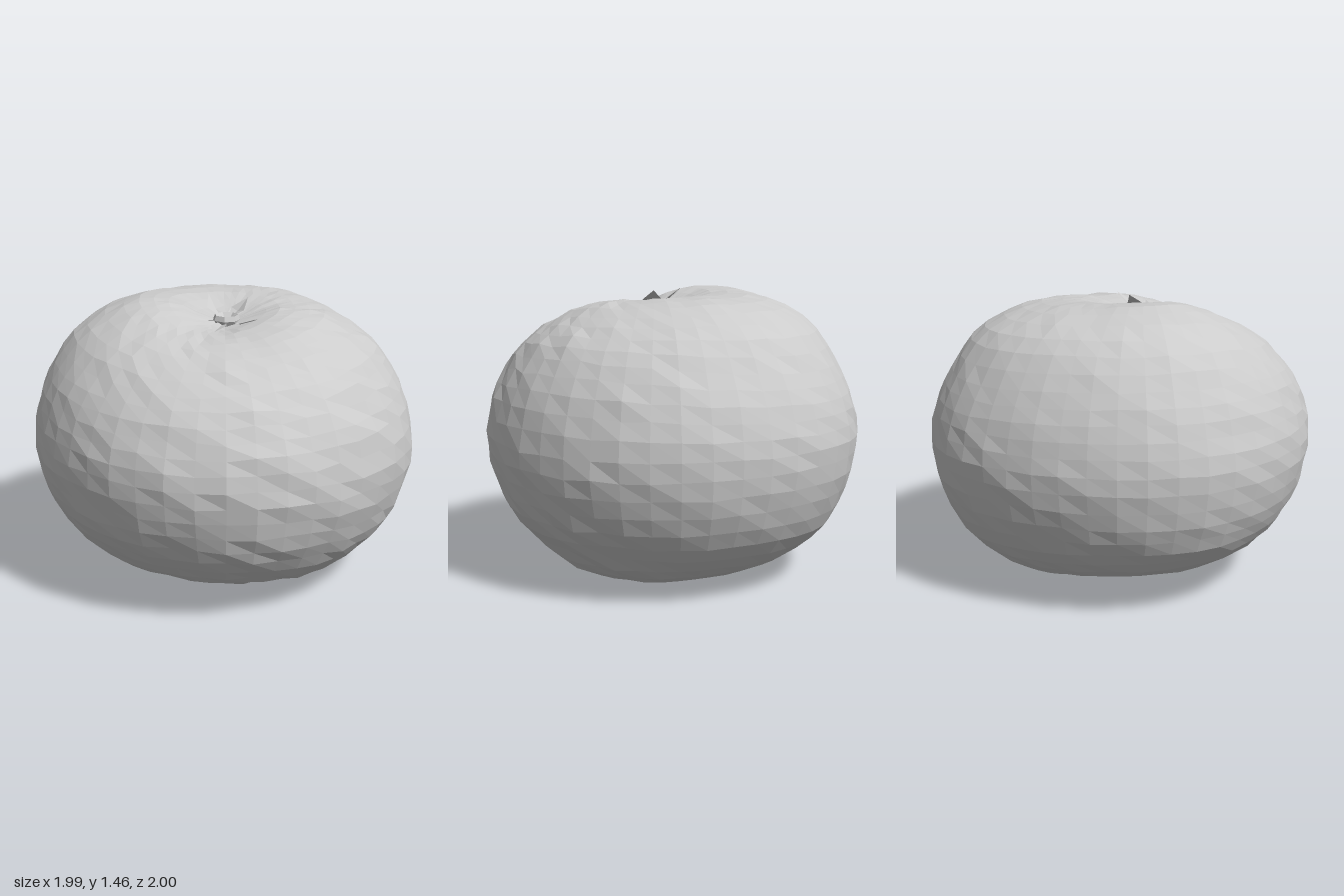
import * as THREE from 'three';

const CENTRE = { x: 0.02, z: 0.14 }; // where the stem sits
const SEGMENTS = 44, RINGS = 34;

// Half profiles (radius, height) from the stem dimple to the underside
const curve = (pts) => new THREE.SplineCurve(pts.map(([r, y]) => new THREE.Vector2(r, y)));
const left = curve([[0, 1.34], [.12, 1.37], [.3, 1.41], [.5, 1.38], [.69, 1.28], [.83, 1.15], [.94, .95],
  [.99, .7], [.95, .46], [.84, .26], [.65, .08], [.42, 0], [.2, .03], [0, .06]]);
const front = curve([[0, 1.34], [.12, 1.33], [.3, 1.33], [.5, 1.3], [.7, 1.22], [.86, 1.09], [.96, .93],
  [1, .74], [.965, .53], [.86, .33], [.68, .165], [.45, .075], [.22, .045], [0, .06]]);
const right = curve([[0, 1.34], [.12, 1.38], [.3, 1.45], [.5, 1.435], [.74, 1.31], [.88, 1.13], [.96, .95],
  [1, .74], [.96, .51], [.87, .33], [.7, .18], [.45, .115], [.22, .075], [0, .06]]);
const back = curve([[0, 1.34], [.12, 1.37], [.3, 1.43], [.54, 1.41], [.76, 1.29], [.89, 1.09], [.97, .91],
  [1, .72], [.96, .49], [.84, .26], [.63, .1], [.42, .045], [.2, .045], [0, .06]]);

function seeded(seed) {
  return () => {
    seed = (seed * 16807) % 2147483647;
    return seed / 2147483647 - 0.5;
  };
}

// Roundness of the plan outline on its four diagonals
function outline(c, s) {
  const diagonal = (2 * c * s) ** 2;
  const flat = s > 0 ? 0.014 : c > 0 ? 0 : 0.05;
  return 1 - flat * diagonal;
}

function makeGeometry(positions, index) {
  const g = new THREE.BufferGeometry();
  g.setAttribute('position', new THREE.Float32BufferAttribute(positions, 3));
  g.setIndex(index);
  g.computeVertexNormals();
  return g;
}

// Body: four profiles blended around the axis, with slight hand-made unevenness
function fruitGeometry() {
  const rand = seeded(77), pos = [], index = [];
  for (let j = 0; j <= RINGS; j++) {
    const t = j / RINGS;
    const [pl, pf, pr, pb] = [left, front, right, back].map((c) => c.getPoint(t));
    for (let i = 0; i < SEGMENTS; i++) {
      const a = (i / SEGMENTS) * Math.PI * 2;
      const c = Math.cos(a), s = Math.sin(a);
      const px = c > 0 ? pl : pr, pz = s > 0 ? pf : pb;
      const p = px.clone().multiplyScalar(c * c).addScaledVector(pz, s * s);
      // Rougher on the front left, calmer behind
      const inner = j > 0 && j < RINGS;
      const amount = inner ? Math.min(1, p.x * 2) * (0.009 + 0.008 * Math.max(0, (c + s) * 0.7)) : 0;
      const r = p.x * outline(c, s) + rand() * amount;
      const y = Math.max(0, p.y + rand() * amount);
      const shift = t < 0.5 ? (1 - Math.min(1, p.x)) ** 1.5 : 0;
      pos.push(r * c + CENTRE.x * shift, y, r * s + CENTRE.z * shift);
    }
  }
  for (let j = 0; j < RINGS; j++) {
    for (let i = 0; i < SEGMENTS; i++) {
      const n = (i + 1) % SEGMENTS;
      const p = j * SEGMENTS + i, q = j * SEGMENTS + n;
      const u = p + SEGMENTS, v = q + SEGMENTS;
      if (j > 0) index.push(p, q, u);
      if (j < RINGS - 1) index.push(q, v, u);
    }
  }
  return makeGeometry(pos, index);
}

// Sepal: narrow base, wide middle, pointed tip, folded along its centre
function sepalGeometry([tx, ty, tz], width, dip) {
  const base = new THREE.Vector3(CENTRE.x, 1.34, CENTRE.z);
  const tip = new THREE.Vector3(tx, ty, tz);
  const side = new THREE.Vector3(-(tz - base.z), 0, tx - base.x).normalize();
  const pos = [];
  for (const [t, w, drop] of [[0.2, 0.5, 0], [0.55, 1, dip]]) {
    const mid = base.clone().lerp(tip, t);
    mid.y -= drop;
    for (const k of [-1, 0, 1]) {
      const v = mid.clone().addScaledVector(side, k * w * width / 2);
      v.y += Math.abs(k) * 0.012;
      pos.push(...v.toArray());
    }
  }
  pos.push(...tip.toArray());
  return makeGeometry(pos, [0, 1, 3, 1, 4, 3, 1, 2, 4, 2, 5, 4, 3, 4, 6, 4, 5, 6]);
}

export function createModel() {
  const model = new THREE.Group();
  const skin = new THREE.MeshStandardMaterial({ color: 0xcccccc, flatShading: true });
  const thin = new THREE.MeshStandardMaterial({ color: 0xcccccc, flatShading: true, side: THREE.DoubleSide });
  const add = (name, geometry, material, parent = model) => {
    const mesh = new THREE.Mesh(geometry, material);
    mesh.name = name;
    parent.add(mesh);
    return mesh;
  };

  add('fruitBody', fruitGeometry(), skin);

  // Crown of sepals around the stem stub
  const crown = new THREE.Group();
  crown.name = 'crown';
  model.add(crown);
  const sepals = [
    [[-.08, 1.46, .01], .1, .012], [[.125, 1.45, .03], .1, .012], [[-.16, 1.39, .16], .08, .02],
    [[.2, 1.385, .23], .09, .02], [[0, 1.35, .39], .08, 0],
  ];
  sepals.forEach((args, i) => add(`sepal${i + 1}`, sepalGeometry(...args), thin, crown));

  // Hollow stem stub
  const stub = add('stemStub', new THREE.LatheGeometry(
    [[.04, -.02], [.07, .025], [.06, .05], [.03, .02], [0, .015]].map(([r, y]) => new THREE.Vector2(r, y)), 7), thin, crown);
  stub.position.set(CENTRE.x + 0.01, 1.335, CENTRE.z + 0.01);
  return model;
}
